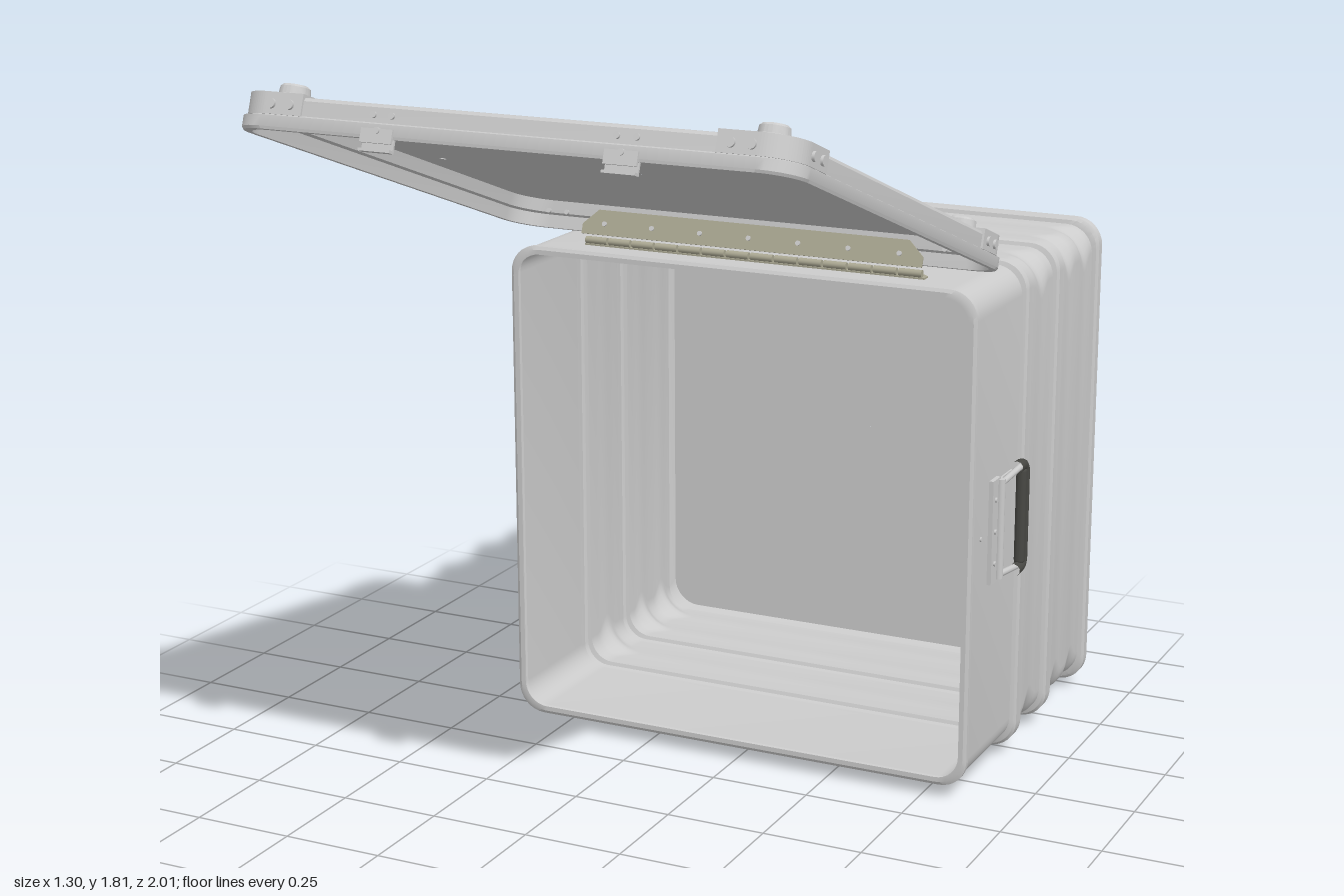
import * as THREE from 'three';
import { toCreasedNormals } from 'three/addons/utils/BufferGeometryUtils.js';
import { RoundedBoxGeometry } from 'three/addons/geometries/RoundedBoxGeometry.js';

const metal = new THREE.MeshStandardMaterial({ color: 0xcccccc });
const dark = new THREE.MeshStandardMaterial({ color: 0x484844 });
const hingeMetal = new THREE.MeshStandardMaterial({ color: 0xaaa792 });

// Rounded square outline, counter-clockwise
function roundedSquare(h, r, steps = 8) {
  r = Math.min(r, h);
  const pts = [];
  for (let c = 0; c < 4; c++) {
    const mid = Math.PI / 4 + c * Math.PI / 2;
    const cx = Math.sign(Math.cos(mid)) * (h - r), cy = Math.sign(Math.sin(mid)) * (h - r);
    for (let i = 0; i <= steps; i++) {
      const a = (c + i / steps) * Math.PI / 2;
      pts.push([cx + r * Math.cos(a), cy + r * Math.sin(a)]);
    }
  }
  return pts;
}

// Shell through rounded squares: sections are [z, half size, corner radius]
function loft(sections) {
  const pos = [], idx = [];
  let n = 0;
  sections.forEach(([z, h, r]) => {
    const loop = roundedSquare(h, r);
    n = loop.length;
    loop.forEach(([x, y]) => pos.push(x, y, z));
  });
  for (let k = 0; k < sections.length - 1; k++) {
    for (let i = 0; i < n; i++) {
      const a = k * n + i, b = k * n + (i + 1) % n;
      idx.push(a, a + n, b, b, a + n, b + n);
    }
  }
  const g = new THREE.BufferGeometry();
  g.setAttribute('position', new THREE.Float32BufferAttribute(pos, 3));
  g.setIndex(idx);
  return toCreasedNormals(g, 0.5);
}

function add(parent, name, geometry, x = 0, y = 0, z = 0, material = metal) {
  const m = new THREE.Mesh(geometry, material);
  m.name = name;
  m.position.set(x, y, z);
  parent.add(m);
  return m;
}
const box = (w, h, d) => new THREE.BoxGeometry(w, h, d);
const rod = (r, len, sides = 16) => new THREE.CylinderGeometry(r, r, len, sides);
const rodX = (r, len) => rod(r, len).rotateZ(Math.PI / 2);
const rodZ = (r, len) => rod(r, len).rotateX(Math.PI / 2);

function tube(points, r) {
  const path = new THREE.CurvePath();
  const v = points.map(p => new THREE.Vector3(...p));
  // straight runs with rounded bends
  let from = v[0];
  for (let i = 1; i < v.length - 1; i++) {
    const a = v[i].clone().add(v[i - 1].clone().sub(v[i]).setLength(0.025));
    const b = v[i].clone().add(v[i + 1].clone().sub(v[i]).setLength(0.025));
    path.add(new THREE.LineCurve3(from, a));
    path.add(new THREE.QuadraticBezierCurve3(a, v[i], b));
    from = b;
  }
  path.add(new THREE.LineCurve3(from, v[v.length - 1]));
  return new THREE.TubeGeometry(path, 64, r, 10, false);
}

// Case body: ribbed walls with dented corners, open to the front
function makeBody() {
  const R = 0.07, W = 0.612;
  const outer = [[-0.12, 0.607, R], [-0.125, 0.615, R], [-0.137, 0.615, R], [-0.142, W, R]];
  const rib = (z0, z1) => outer.push([z0, W, R], [z0 - 0.004, 0.621, R], [z0 - 0.012, 0.626, R],
    [z1 + 0.012, 0.626, R], [z1 + 0.004, 0.621, R], [z1, W, R]);
  const dent = (z0, z1) => {
    for (let i = 0; i <= 8; i++) {
      outer.push([z0 + (z1 - z0) * i / 8, W, R + 0.04 * Math.sin(Math.PI * i / 8) ** 2]);
    }
  };
  rib(-0.435, -0.492);
  dent(-0.53, -0.63);
  rib(-0.658, -0.715);
  dent(-0.74, -0.83);
  dent(-0.86, -0.95);
  outer.push([-0.962, W, R]);
  const inner = outer.map(([z, h, r]) => [z, h - 0.012, r - 0.01]).reverse();
  const back = [[-0.965, 0.622, R], [-0.972, 0.628, R], [-0.994, 0.628, R], [-1, 0.622, R],
    [-1, 0.612, R], [-0.994, 0.606, R], [-0.994, 0.001, R]];
  return loft([[-0.98, 0.001, R], [-0.98, 0.59, R], ...inner, ...outer, ...back]);
}

// Side handle on +x: mounting plate, bail and grip
function makeHandle() {
  const g = new THREE.Group();
  g.name = 'sideHandle';
  add(g, 'handlePlate', box(0.012, 0.26, 0.05), 0.617, 0, -0.265);
  add(g, 'handleBackplate', box(0.006, 0.24, 0.1), 0.614, 0, -0.34);
  add(g, 'handlePivot', rod(0.011, 0.25), 0.625, 0, -0.287);
  add(g, 'handleBail', tube([[0.627, 0.115, -0.287], [0.634, 0.128, -0.42],
    [0.634, -0.128, -0.42], [0.627, -0.115, -0.287]], 0.008));
  add(g, 'handleGrip', tube([[0.634, 0.131, -0.375], [0.634, 0.131, -0.423],
    [0.634, -0.131, -0.423], [0.634, -0.131, -0.375]], 0.015), 0, 0, 0, dark);
  add(g, 'gripBar', new RoundedBoxGeometry(0.026, 0.25, 0.04, 3, 0.012), 0.634, 0, -0.416, dark);
  for (const y of [-0.08, 0, 0.08]) {
    add(g, 'rivet', rodX(0.006, 0.008), 0.624, y, -0.258);
    add(g, 'rivet', rodX(0.006, 0.006), 0.617, y, -0.33);
  }
  add(g, 'rivet', rodX(0.006, 0.006), 0.613, 0, -0.19);
  return g;
}

// Draw latch under the front opening
function makeLatch() {
  const g = new THREE.Group();
  g.name = 'latch';
  add(g, 'latchBase', box(0.15, 0.01, 0.12), 0, 0.034, -0.335);
  for (const s of [-1, 1]) add(g, 'latchCheek', box(0.012, 0.024, 0.12), s * 0.06, 0.022, -0.335);
  add(g, 'latchLever', new RoundedBoxGeometry(0.1, 0.012, 0.14, 2, 0.005), 0, 0.007, -0.33);
  add(g, 'latchPivot', rodX(0.008, 0.13), 0, 0.02, -0.29);
  add(g, 'latchHook', box(0.06, 0.006, 0.06), 0, 0.02, -0.25).rotation.x = 0.15;
  return g;
}

// Lid corner: clipped top plate, wrap-around band, foot and rivets
function makeLidCorner() {
  const g = new THREE.Group();
  g.name = 'lidCorner';
  const H = 0.642, r = 0.08, a = 0.475, b = 0.565;
  const flat = (shape, depth) => new THREE.ExtrudeGeometry(shape, { depth, bevelEnabled: false, curveSegments: 10 })
    .rotateX(Math.PI / 2);
  const plate = new THREE.Shape();
  plate.moveTo(a, H).lineTo(a, b).lineTo(b, a).lineTo(H, a).lineTo(H, H - r);
  plate.absarc(H - r, H - r, r, 0, Math.PI / 2, false);
  const band = new THREE.Shape();
  const i = H - 0.014;
  band.moveTo(H, a).lineTo(H, H - r);
  band.absarc(H - r, H - r, r, 0, Math.PI / 2, false);
  band.lineTo(a, H).lineTo(a, i).lineTo(H - r, i);
  band.absarc(H - r, H - r, r - 0.014, Math.PI / 2, 0, true);
  band.lineTo(i, a);
  add(g, 'cornerPlate', flat(plate, 0.006), 0, 0.08, 0);
  add(g, 'cornerBand', flat(band, 0.046), 0, 0.079, 0);
  const profile = [[0.042, 0], [0.042, 0.006], [0.034, 0.01], [0.032, 0.026], [0.026, 0.031],
    [0.012, 0.031], [0.01, 0.022], [0, 0.022]].map(p => new THREE.Vector2(...p));
  add(g, 'foot', toCreasedNormals(new THREE.LatheGeometry(profile, 24), 0.5), 0.555, 0.079, 0.555);
  for (const t of [0.505, 0.55]) {
    add(g, 'bolt', rodX(0.011, 0.01), 0.643, 0.055, t);
    add(g, 'bolt', rodZ(0.011, 0.01), t, 0.055, 0.643);
  }
  return g;
}

// Hinge leaf with tapered ends, standing up from y = 0
function hingeLeaf(height) {
  const s = new THREE.Shape();
  s.moveTo(-0.45, 0).lineTo(0.45, 0).lineTo(0.45, height * 0.4).lineTo(0.41, height);
  s.lineTo(-0.41, height).lineTo(-0.45, height * 0.4);
  return new THREE.ExtrudeGeometry(s, { depth: 0.004, bevelEnabled: false });
}

function makeLid() {
  const lid = new THREE.Group();
  lid.name = 'lid';
  const R = 0.08;
  const shell = loft([[-0.066, 0.001, R], [-0.066, 0.615, R], [-0.036, 0.62, R], [-0.032, 0.63, R],
    [0, 0.632, R], [0, 0.645, R], [-0.006, 0.648, R], [-0.03, 0.648, R], [-0.034, 0.637, R],
    [-0.066, 0.637, R], [-0.073, 0.633, R], [-0.075, 0.625, R], [-0.075, 0.001, R]]);
  shell.rotateX(Math.PI / 2);
  add(lid, 'lidShell', shell);
  for (let k = 0; k < 4; k++) {
    const c = makeLidCorner();
    c.rotation.y = k * Math.PI / 2;
    lid.add(c);
  }
  // catches on the free edge
  for (const s of [-1, 1]) {
    add(lid, 'catchPlate', box(0.075, 0.03, 0.006), s * 0.28, 0.005, 0.65);
    add(lid, 'catchLip', box(0.075, 0.006, 0.018), s * 0.28, -0.025, 0.645);
    add(lid, 'catchStem', box(0.075, 0.03, 0.005), s * 0.28, -0.012, 0.638);
    for (const d of [-0.022, 0.022]) add(lid, 'rivet', rodZ(0.007, 0.008), s * 0.28 + d, 0.05, 0.638);
    add(lid, 'rivet', rodZ(0.007, 0.008), s * 0.28, 0.016, 0.652);
    for (const x of [0.5, 0.55]) add(lid, 'rivet', rodZ(0.006, 0.008), s * x, 0.04, -0.617);
    add(lid, 'panelRivet', rod(0.008, 0.014), s * 0.53, 0.071, -0.04);
  }
  // hinge leaf on the inner rear wall
  add(lid, 'lidHingeLeaf', hingeLeaf(0.062), 0, -0.008, -0.618, hingeMetal);
  for (let i = -3; i <= 3; i++) add(lid, 'rivet', rodZ(0.006, 0.006), i * 0.13, 0.02, -0.613);
  lid.rotation.x = -0.347;
  const half = 0.642;
  lid.position.set(0, 1.293 + half * Math.sin(0.347), -0.214 + half * Math.cos(0.347));
  return lid;
}

export function createModel() {
  const model = new THREE.Group();
  model.name = 'openTransportCase';
  add(model, 'caseBody', makeBody(), 0, 0.65, 0);

  for (const turn of [0, Math.PI]) {
    const h = makeHandle();
    h.position.y = 0.65;
    h.rotation.z = turn;
    model.add(h);
  }
  for (const x of [-0.28, 0.28]) {
    const l = makeLatch();
    l.position.x = x;
    model.add(l);
  }

  // hinge on top of the body: flat leaf and knuckles
  add(model, 'bodyHingeLeaf', hingeLeaf(0.06).rotateX(-Math.PI / 2), 0, 1.262, -0.203, hingeMetal);
  for (let i = 0; i < 14; i++) {
    add(model, 'hingeKnuckle', rodX(0.009, 0.058), -0.416 + i * 0.064, 1.276, -0.203, hingeMetal);
  }

  model.add(makeLid());
  return model;
}
